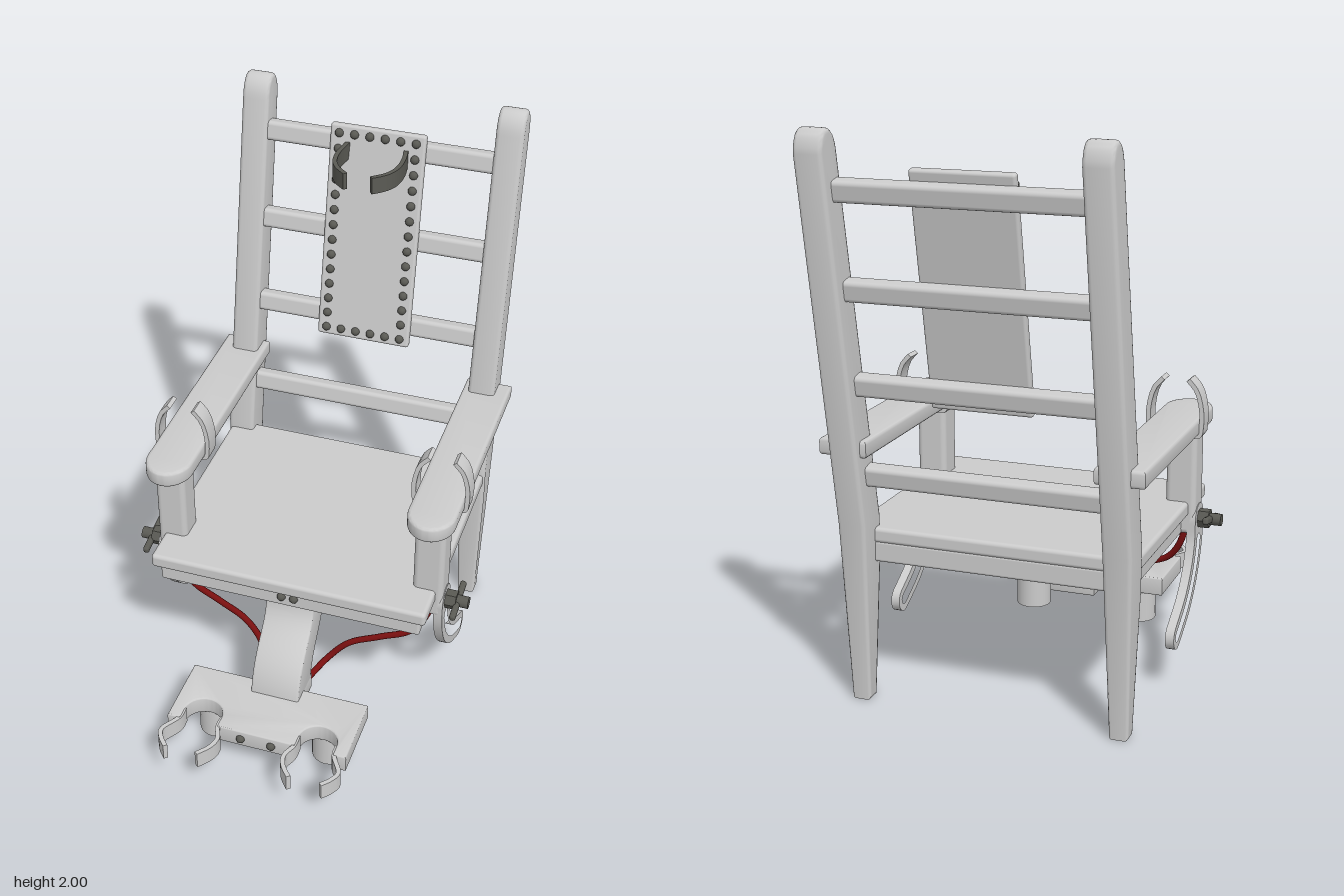
import * as THREE from 'three';
import { toCreasedNormals } from 'three/addons/utils/BufferGeometryUtils.js';
import { RoundedBoxGeometry } from 'three/addons/geometries/RoundedBoxGeometry.js';

const grey = new THREE.MeshStandardMaterial({ color: 0xcccccc });
const dark = new THREE.MeshStandardMaterial({ color: 0x5a5a54 });
const red = new THREE.MeshStandardMaterial({ color: 0x7a1010 });
const LEAN = -0.187; // backward tilt of the backrest
const V2 = (p) => new THREE.Vector2(p[0], p[1]);

// Extrusion centred on its depth, with an inward bevel
function extrude(shape, depth, bevel = 0) {
  const geo = new THREE.ExtrudeGeometry(shape, {
    depth: depth - 2 * bevel, bevelEnabled: bevel > 0, bevelSize: bevel,
    bevelThickness: bevel, bevelOffset: -bevel, bevelSegments: 3, curveSegments: 16,
  });
  geo.translate(0, 0, bevel - depth / 2);
  return toCreasedNormals(geo, 0.6);
}
const sideways = (geo) => geo.rotateY(-Math.PI / 2); // shape drawn in (z, y)
const flat = (geo) => geo.rotateX(Math.PI / 2); // shape drawn in (x, z)

// Outline of a strip following a curve; half-width runs from w0 to w1
function strip(points, w0, w1 = w0, round = false, t0 = 0) {
  const curve = new THREE.SplineCurve(points.map(V2));
  const a = [], b = [], n = 24;
  const at = (t) => {
    const p = curve.getPoint(t), d = curve.getTangent(t);
    return { p, d, n: new THREE.Vector2(-d.y, d.x), w: w0 + (w1 - w0) * t };
  };
  const cap = (f, sign) => {
    const out = [];
    for (let i = 1; i < 10; i++) {
      const q = (i / 10) * Math.PI;
      out.push(f.p.clone().addScaledVector(f.n, sign * Math.cos(q) * f.w)
        .addScaledVector(f.d, sign * Math.sin(q) * f.w));
    }
    return out;
  };
  for (let i = 0; i <= n; i++) {
    const f = at(t0 + (1 - t0) * i / n);
    a.push(f.p.clone().addScaledVector(f.n, f.w));
    b.unshift(f.p.clone().addScaledVector(f.n, -f.w));
  }
  return round ? [...a, ...cap(at(1), 1), ...b, ...cap(at(t0), -1)] : [...a, ...b];
}
const band = (points, depth, half = 0.008) => extrude(new THREE.Shape(strip(points, half)), depth);

export function createModel() {
  const root = new THREE.Group();
  const add = (name, geo, x = 0, y = 0, z = 0, mat = grey, parent = root) => {
    const m = new THREE.Mesh(geo, mat);
    m.name = name;
    m.position.set(x, y, z);
    parent.add(m);
    return m;
  };
  const box = (w, h, d, r) => new RoundedBoxGeometry(w, h, d, 3, r);
  const stud = new THREE.SphereGeometry(0.016, 12, 8);

  // Back posts: one leaning profile, tapering to the feet
  const post = new THREE.Shape();
  post.moveTo(-0.5, 0);
  post.lineTo(-0.475, 0.5);
  post.lineTo(-0.47, 0.65);
  post.lineTo(-0.712, 1.92);
  post.bezierCurveTo(-0.727, 2.02, -0.822, 2.03, -0.828, 1.92);
  post.lineTo(-0.603, 0.65);
  post.lineTo(-0.56, 0);
  post.closePath();
  const postGeo = sideways(extrude(post, 0.1, 0.015));
  const pp = postGeo.attributes.position;
  for (let i = 0; i < pp.count; i++) {
    if (pp.getY(i) < 0.3) pp.setX(i, pp.getX(i) * 0.68);
  }

  // Armrest board with a rounded front
  const arm = new THREE.Shape();
  arm.moveTo(-0.085, -0.62);
  arm.lineTo(0.085, -0.62);
  arm.lineTo(0.085, 0.19);
  arm.absellipse(0, 0.19, 0.085, 0.1, 0, Math.PI, false);
  arm.closePath();
  const armGeo = flat(extrude(arm, 0.06, 0.012));

  // Slotted curved strap below each arm post
  const path = [[0.16, 0.55], [0.152, 0.46], [0.105, 0.36], [0.02, 0.27], [-0.105, 0.197]];
  const strap = new THREE.Shape(strip(path, 0.055, 0.046, true));
  strap.holes.push(new THREE.Path(strip(path, 0.02, 0.02, true, 0.22)));
  const strapGeo = sideways(extrude(strap, 0.032));

  // Wrist cuff: open band passing under the armrest
  const cuffGeo = band([[-0.045, 1.09], [-0.078, 1.05], [-0.095, 0.98], [-0.093, 0.91], [-0.08, 0.893], [0, 0.893],
    [0.08, 0.893], [0.093, 0.91], [0.095, 0.98], [0.078, 1.05], [0.045, 1.09]], 0.064);

  for (const s of [1, -1]) {
    add('backPost', postGeo, s * 0.467);
    add('armrest', armGeo, s * 0.48, 0.925, 0);
    add('armPost', box(0.11, 0.41, 0.11, 0.02), s * 0.48, 0.705, 0.16);
    add('curvedStrap', strapGeo, s * 0.522);
    add('wristCuff', cuffGeo, s * 0.478, 0, 0.052);

    // Wing nut holding the strap
    const nut = new THREE.Group();
    nut.name = 'wingNut';
    nut.position.set(s * 0.53, 0.55, 0.16);
    root.add(nut);
    const hex = new THREE.CylinderGeometry(0.035, 0.035, 0.045, 6).toNonIndexed().rotateZ(Math.PI / 2);
    hex.computeVertexNormals();
    add('nut', hex, s * 0.025, 0, 0, dark, nut);
    add('bolt', new THREE.CylinderGeometry(0.022, 0.022, 0.09, 12).rotateZ(Math.PI / 2), s * 0.045, 0, 0, dark, nut);
    add('wing', box(0.022, 0.026, 0.17, 0.009), s * 0.05, 0, 0, dark, nut).rotation.x = 0.2;

    // Head clamp
    add('headClamp', flat(band([[s * 0.105, -0.7], [s * 0.117, -0.62], [s * 0.113, -0.55], [s * 0.09, -0.5],
      [s * 0.047, -0.46]], 0.062)), 0, 1.79, 0, dark);

    // Cable from strap to foot bracket
    const cable = new THREE.CatmullRomCurve3([[0.487, 0.56, 0.16], [0.475, 0.465, 0.165], [0.42, 0.38, 0.185],
      [0.31, 0.335, 0.205], [0.2, 0.29, 0.225], [0.13, 0.22, 0.25], [0.075, 0.17, 0.335]]
      .map((p) => new THREE.Vector3(s * p[0], p[1], p[2])));
    add('cable', new THREE.TubeGeometry(cable, 48, 0.012, 8), 0, 0, 0, red);

    // Ankle clamps, foot and screws
    const ankle = [[[0.288, 0.63], [0.29, 0.68], [0.327, 0.745], [0.315, 0.785], [0.285, 0.82]],
      [[0.142, 0.63], [0.142, 0.68], [0.124, 0.73], [0.135, 0.775], [0.17, 0.82]]];
    for (const pts of ankle) {
      add('ankleClamp', flat(band(pts.map((p) => [s * p[0], p[1]]), 0.064)), 0, 0.16, 0);
    }
    add('foot', new THREE.CylinderGeometry(0.066, 0.066, 0.14, 24), s * 0.217, 0.07, 0.494);
    add('bracketScrew', stud, s * 0.057, 0.16, 0.68, dark);
    add('seatScrew', stud, s * 0.023, 0.54, 0.325, dark);
  }

  // Back rails
  for (const y of [0.822, 1.148, 1.475, 1.802]) {
    add('backRail', box(0.88, 0.072, 0.06, 0.015), 0, y, -0.52 - 0.184 * (y - 0.65)).rotation.x = LEAN;
  }

  // Studded back panel
  const panel = new THREE.Group();
  panel.name = 'backPanel';
  panel.position.set(0, 1.48, -0.637);
  panel.rotation.x = LEAN;
  root.add(panel);
  add('panelBoard', box(0.352, 0.81, 0.032, 0.01), 0, 0, 0, grey, panel);
  for (let i = 0; i < 14; i++) {
    for (const s of [1, -1]) add('stud', stud, s * 0.142, -0.374 + i * 0.0575, 0.016, dark, panel);
  }
  for (let i = 1; i < 5; i++) {
    for (const s of [1, -1]) add('stud', stud, -0.142 + i * 0.0568, s * 0.374, 0.016, dark, panel);
  }

  // Seat and the frame below it
  add('seat', box(1.02, 0.054, 0.87, 0.014), 0, 0.594, -0.085);
  add('seatFrame', box(0.97, 0.075, 0.84, 0.01), 0, 0.535, -0.095);

  // Curved stalk down to the foot bracket
  const stalk = new THREE.Shape();
  stalk.moveTo(0.3, 0.52);
  stalk.bezierCurveTo(0.3, 0.37, 0.46, 0.38, 0.485, 0.17);
  stalk.lineTo(0.335, 0.17);
  stalk.bezierCurveTo(0.31, 0.33, 0.17, 0.33, 0.17, 0.52);
  stalk.closePath();
  add('stalk', sideways(extrude(stalk, 0.18, 0.008)));

  // Foot bracket with two ankle notches
  const foot = new THREE.Shape();
  foot.moveTo(-0.09, 0.325);
  for (const p of [[0.09, 0.325], [0.09, 0.415], [0.333, 0.415], [0.333, 0.68], [0.285, 0.68]]) foot.lineTo(...p);
  foot.absarc(0.215, 0.635, 0.07, 0, Math.PI, true);
  foot.lineTo(0.145, 0.68);
  foot.lineTo(-0.145, 0.68);
  foot.absarc(-0.215, 0.635, 0.07, 0, Math.PI, true);
  for (const p of [[-0.285, 0.68], [-0.333, 0.68], [-0.333, 0.415], [-0.09, 0.415]]) foot.lineTo(...p);
  foot.closePath();
  add('footBracket', flat(extrude(foot, 0.07, 0.006)), 0, 0.16, 0);

  return root;
}
